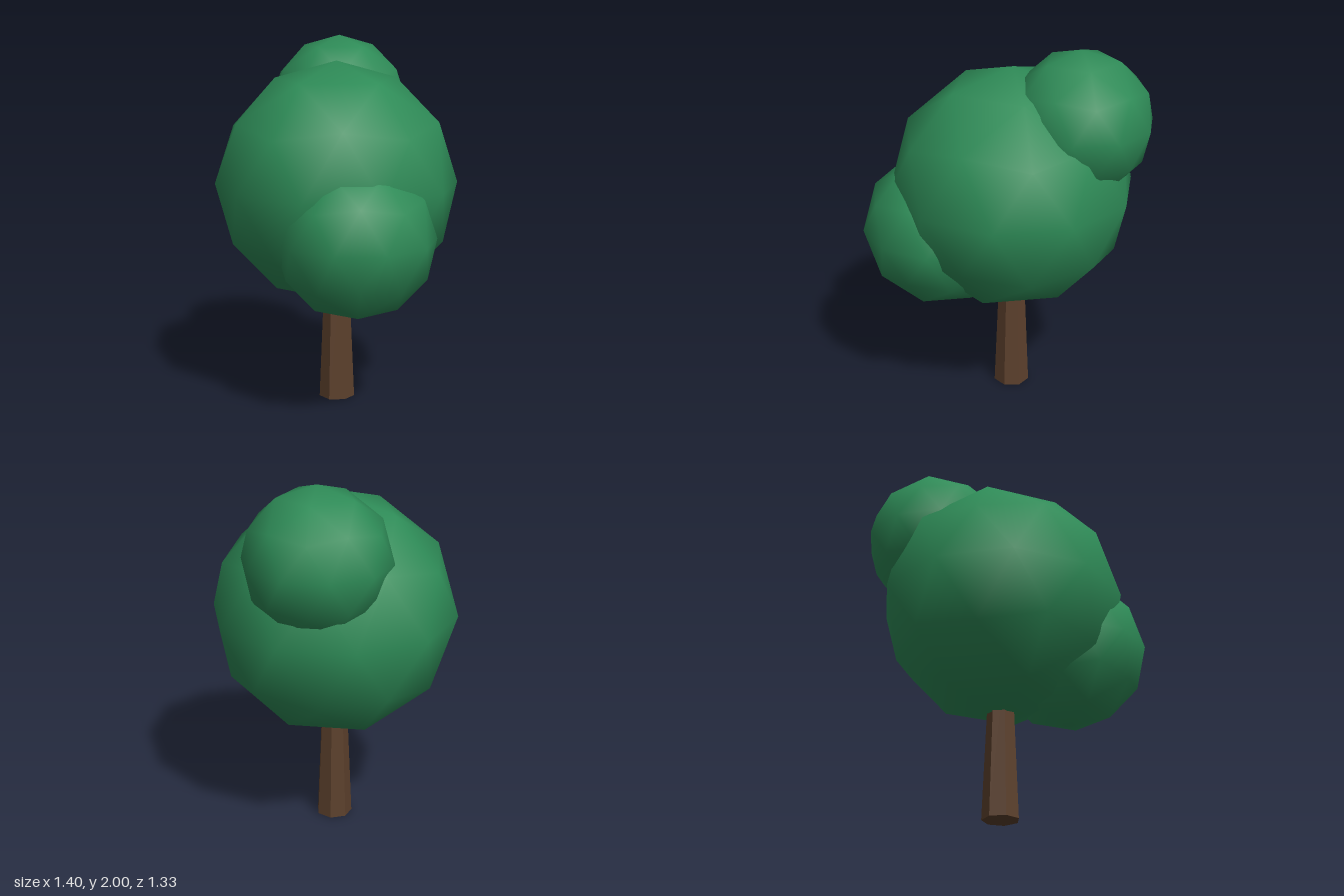
import * as THREE from 'three';

// Smooth 80-sided ball: an icosahedron standing on one corner, split once
function foliageBall(radius) {
  const points = [0, 1, 0];
  const ring = (y, offset) => {
    for (let k = 0; k < 5; k++) {
      const a = ((k + offset) * Math.PI * 2) / 5;
      points.push(Math.cos(a) * 2 * Math.abs(y), y, -Math.sin(a) * 2 * Math.abs(y));
    }
  };
  const h = 1 / Math.sqrt(5);
  ring(h, 0);
  ring(-h, 0.5);
  points.push(0, -1, 0);

  const faces = [];
  for (let k = 0; k < 5; k++) {
    const n = (k + 1) % 5;
    const u = 1 + k, u2 = 1 + n, l = 6 + k, l2 = 6 + n;
    faces.push(0, u, u2, u, l, u2, l, l2, u2, 11, l2, l);
  }
  return new THREE.PolyhedronGeometry(points, faces, radius, 1);
}

export function createModel() {
  const tree = new THREE.Group();
  tree.name = 'tree';

  const leafGreen = new THREE.MeshStandardMaterial({ color: 0x2e8b57 });
  leafGreen.name = 'leaf green';
  const barkBrown = new THREE.MeshStandardMaterial({ color: 0x5c402c });
  barkBrown.name = 'bark brown';

  // Tapered seven-sided trunk with flat faces, its top hidden in the crown
  const trunkGeometry = new THREE.CylinderGeometry(0.066, 0.1, 0.8, 7).toNonIndexed();
  trunkGeometry.rotateY(Math.PI);
  trunkGeometry.computeVertexNormals();
  const trunk = new THREE.Mesh(trunkGeometry, barkBrown);
  trunk.name = 'trunk';
  trunk.position.set(-0.06, 0.4, 0);
  tree.add(trunk);

  // Crown of three overlapping balls
  const balls = [
    ['mainFoliage', 0.664, -0.06, 1.22, 0],
    ['upperFoliage', 0.39, -0.335, 1.61, -0.24],
    ['lowerFoliage', 0.43, 0.29, 0.985, 0.155],
  ];
  for (const [name, radius, x, y, z] of balls) {
    const ball = new THREE.Mesh(foliageBall(radius), leafGreen);
    ball.name = name;
    ball.position.set(x, y, z);
    tree.add(ball);
  }

  return tree;
}
